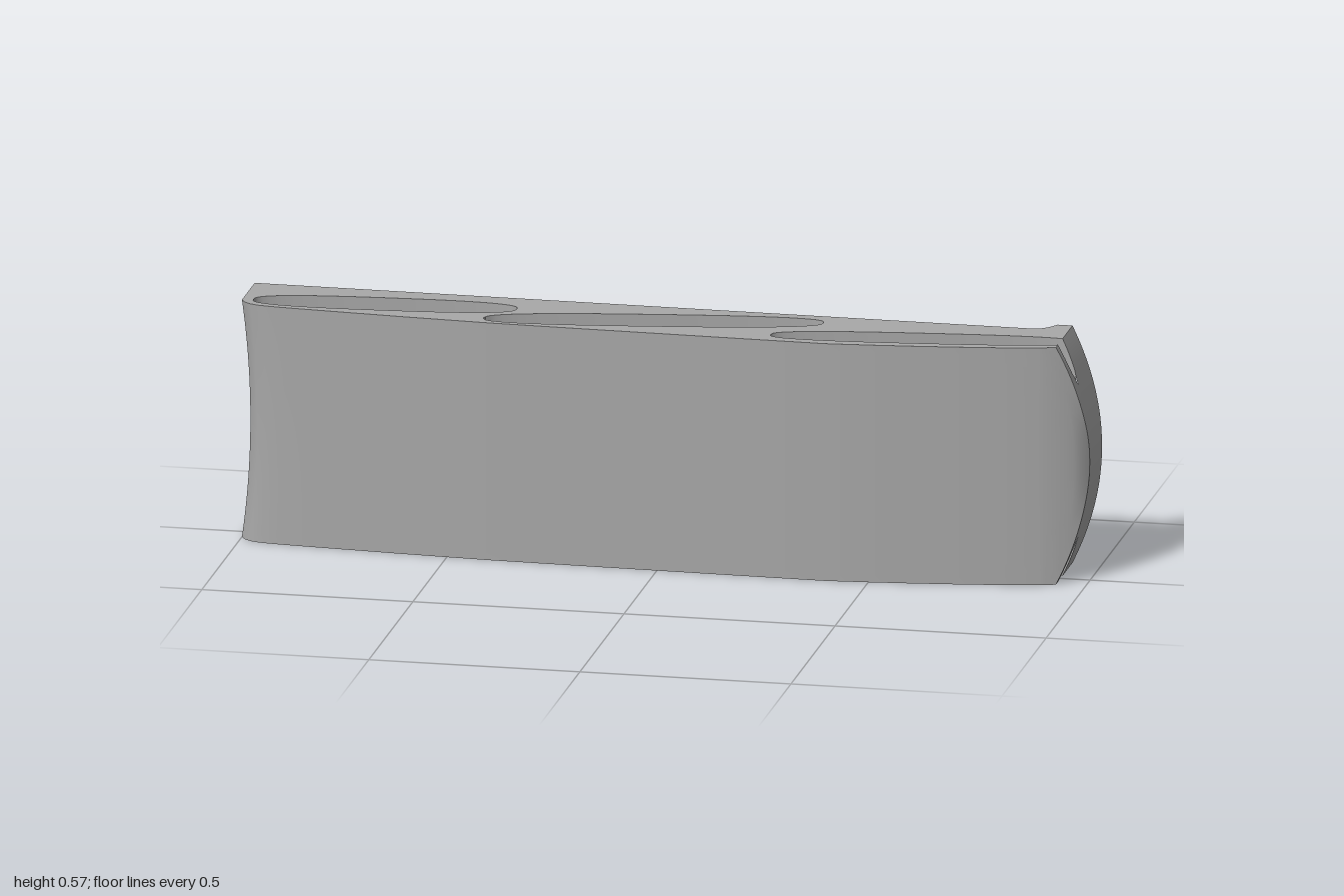
import * as THREE from 'three';
import { toCreasedNormals } from 'three/addons/utils/BufferGeometryUtils.js';

const H = 0.572, DEPTH = 0.12, LIP_Z = -0.135, HOLE_R = 0.047;
const HOLES = [-0.71, 0.65];

// Finger slots cut into both long edges: ends (x0,z0)-(x1,z1) and half width
const SLOTS = [
  { x0: -0.975, z0: 0.035, x1: -0.36, z1: -0.01, w: 0.052 },
  { x0: -0.42, z0: 0.08, x1: 0.36, z1: -0.04, w: 0.05 },
  { x0: 0.26, z0: 0.082, x1: 0.967, z1: 0, w: 0.043 },
];

// Outer face profile (x, z)
const FRONT = [
  [-1, 0.045], [-0.99, 0.062], [-0.975, 0.075], [-0.95, 0.084], [-0.9, 0.09], [-0.8, 0.097],
  [-0.6, 0.11], [-0.4, 0.12], [-0.2, 0.124], [0, 0.127], [0.2, 0.13], [0.4, 0.132], [0.5, 0.123],
  [0.6, 0.112], [0.7, 0.099], [0.8, 0.084], [0.85, 0.075], [0.9, 0.064], [0.93, 0.054],
  [0.96, 0.041], [0.98, 0.03], [0.99, 0.02], [1, 0.004],
];

const bow = (y) => 1 - ((y - H / 2) / (H / 2)) ** 2;
const leftX = (y) => -1 + 0.02 * bow(y);      // hollow end
const rightX = (y) => 0.93 + 0.07 * bow(y);   // rounded end
const backZ = (x) => -0.1 + 0.005 * (x + 1);
const backEndX = (y) => rightX(y) - 0.08;

function frontZ(x) {
  for (let i = 1; i < FRONT.length; i++) {
    const [xa, za] = FRONT[i - 1], [xb, zb] = FRONT[i];
    if (x <= xb) return za + (zb - za) * (x - xa) / (xb - xa);
  }
  return FRONT[FRONT.length - 1][1];
}

function slotSection(s, x) {
  const t = Math.min(1, Math.max(0, (x - s.x0) / (s.x1 - s.x0)));
  const half = s.w * Math.pow(Math.max(0, 1 - Math.abs(2 * t - 1) ** 2.7), 1 / 2.7);
  const mid = s.z0 + (s.z1 - s.z0) * t;
  return [mid + half, mid - half];
}

// Slot wall path, along its front side and back along its rear side
function slotPath(s, y) {
  const n = 28, end = Math.min(s.x1, rightX(y)), front = [], rear = [];
  for (let i = 0; i <= n; i++) {
    const x = s.x0 + (end - s.x0) * (1 - Math.cos(Math.PI * i / n)) / 2;
    const [a, b] = slotSection(s, x);
    front.unshift([x, a]);
    if (i > 0) rear.push([x, b]);
  }
  return [...front, ...rear];
}

// Outline pieces at height y
function facePath(y) {
  const e = rightX(y), shift = leftX(y) + 1;
  const pts = FRONT.filter((p) => p[0] < 0.84)
    .map(([x, z]) => [x + shift * Math.max(0, Math.min(1, (-x - 0.8) / 0.2)), z]);
  for (let i = 0; i <= 10; i++) {
    const x = 0.85 + (e - 0.85) * i / 10;
    pts.push([x, frontZ(x)]);
  }
  pts.push([e, slotSection(SLOTS[2], e)[0]]);
  return pts;
}
function lipPath(y) {
  const e = rightX(y), b = backEndX(y);
  return [[e, slotSection(SLOTS[2], e)[1]], [e, LIP_Z], [e - 0.035, LIP_Z],
    [e - 0.044, -0.12], [e - 0.053, -0.108], [e - 0.065, -0.098], [b, backZ(b)]];
}
const endPath = (y) => [[leftX(y), backZ(leftX(y))], [leftX(y), 0.045]];

// Skin between the same path taken at several heights
function skin(path, y0, y1, rows) {
  const pos = [], index = [];
  let n = 0;
  for (let r = 0; r <= rows; r++) {
    const y = y0 + (y1 - y0) * r / rows, p = path(y);
    n = p.length;
    p.forEach(([x, z]) => pos.push(x, y, z));
  }
  for (let r = 0; r < rows; r++) {
    for (let i = 0; i < n - 1; i++) {
      const a = r * n + i, c = a + n;
      index.push(a, a + 1, c, a + 1, c + 1, c);
    }
  }
  const g = new THREE.BufferGeometry();
  g.setAttribute('position', new THREE.Float32BufferAttribute(pos, 3));
  g.setIndex(index);
  g.computeVertexNormals();
  return toCreasedNormals(g, 0.5);
}

// Flat horizontal plate from a path, facing up or down
function plate(path, y, up, holes = []) {
  const k = up ? -1 : 1;
  const points = (p) => p.map(([x, z]) => new THREE.Vector2(x, k * z));
  const shape = new THREE.Shape(points(path));
  holes.forEach((h) => shape.holes.push(new THREE.Path(points(h).slice(0, -1))));
  return new THREE.ShapeGeometry(shape).rotateX(k * Math.PI / 2).translate(0, y, 0);
}

// Rear face with two round holes, sheared onto its slight taper
function backGeometry() {
  const pts = [], n = 32;
  for (let i = 0; i <= n; i++) pts.push(new THREE.Vector2(backEndX(H * i / n), H * i / n));
  for (let i = n; i >= 0; i--) pts.push(new THREE.Vector2(leftX(H * i / n), H * i / n));
  const shape = new THREE.Shape(pts);
  HOLES.forEach((x) => shape.holes.push(new THREE.Path().absarc(x, H / 2, HOLE_R, 0, Math.PI * 2, true)));
  const g = new THREE.ShapeGeometry(shape, 24);
  const p = g.attributes.position;
  for (let i = 0; i < p.count; i++) p.setZ(i, backZ(p.getX(i)));
  const idx = g.index.array;
  for (let i = 0; i < idx.length; i += 3) [idx[i], idx[i + 1]] = [idx[i + 1], idx[i]];
  g.computeVertexNormals();
  return g;
}

export function createModel() {
  const group = new THREE.Group();
  const grey = new THREE.MeshStandardMaterial({ color: 0xa8a8a8 });
  grey.name = 'grey';
  const greyInside = grey;
  const add = (name, geometry) => {
    const mesh = new THREE.Mesh(geometry, greyInside);
    mesh.name = name;
    group.add(mesh);
    return mesh;
  };

  // Panel skin
  add('outerFace', skin(facePath, 0, H, 32));
  add('endLip', skin(lipPath, 0, H, 32));
  add('hollowEnd', skin(endPath, 0, H, 32));
  add('backFace', backGeometry());

  // Long edges with their slots
  for (const up of [true, false]) {
    const y = up ? H : 0, floorY = up ? H - DEPTH : DEPTH, side = up ? 'top' : 'bottom';
    const outline = [...facePath(y), ...slotPath(SLOTS[2], y).slice(1, -1), ...lipPath(y), ...endPath(y).slice(0, 1)];
    add(side + 'Edge', plate(outline, y, up, SLOTS.slice(0, 2).map((s) => slotPath(s, y))));
    SLOTS.forEach((s, i) => {
      add(`${side}SlotWall${i + 1}`, skin((h) => slotPath(s, h), Math.min(y, floorY), Math.max(y, floorY), 12));
      add(`${side}SlotFloor${i + 1}`, plate(slotPath(s, floorY).slice(0, -1), floorY, up));
    });
  }

  // Blind screw holes in the back
  HOLES.forEach((x, i) => {
    const depth = 0.12, z = backZ(x);
    const wall = new THREE.CylinderGeometry(HOLE_R, HOLE_R, depth, 48, 1, true);
    wall.scale(-1, 1, 1); // turned inside out
    const normals = wall.attributes.normal;
    for (let j = 0; j < normals.count; j++) normals.setXYZ(j, -normals.getX(j), 0, -normals.getZ(j));
    wall.attributes.normal.needsUpdate = true;
    // mirroring reverses the winding, so the visible side is the inside; restore matching normals
    wall.computeVertexNormals();
    add(`holeWall${i + 1}`, wall.rotateX(Math.PI / 2).translate(x, H / 2, z + depth / 2));
    add(`holeFloor${i + 1}`, new THREE.CircleGeometry(HOLE_R, 48).rotateY(Math.PI).translate(x, H / 2, z + depth));
  });
  return group;
}
